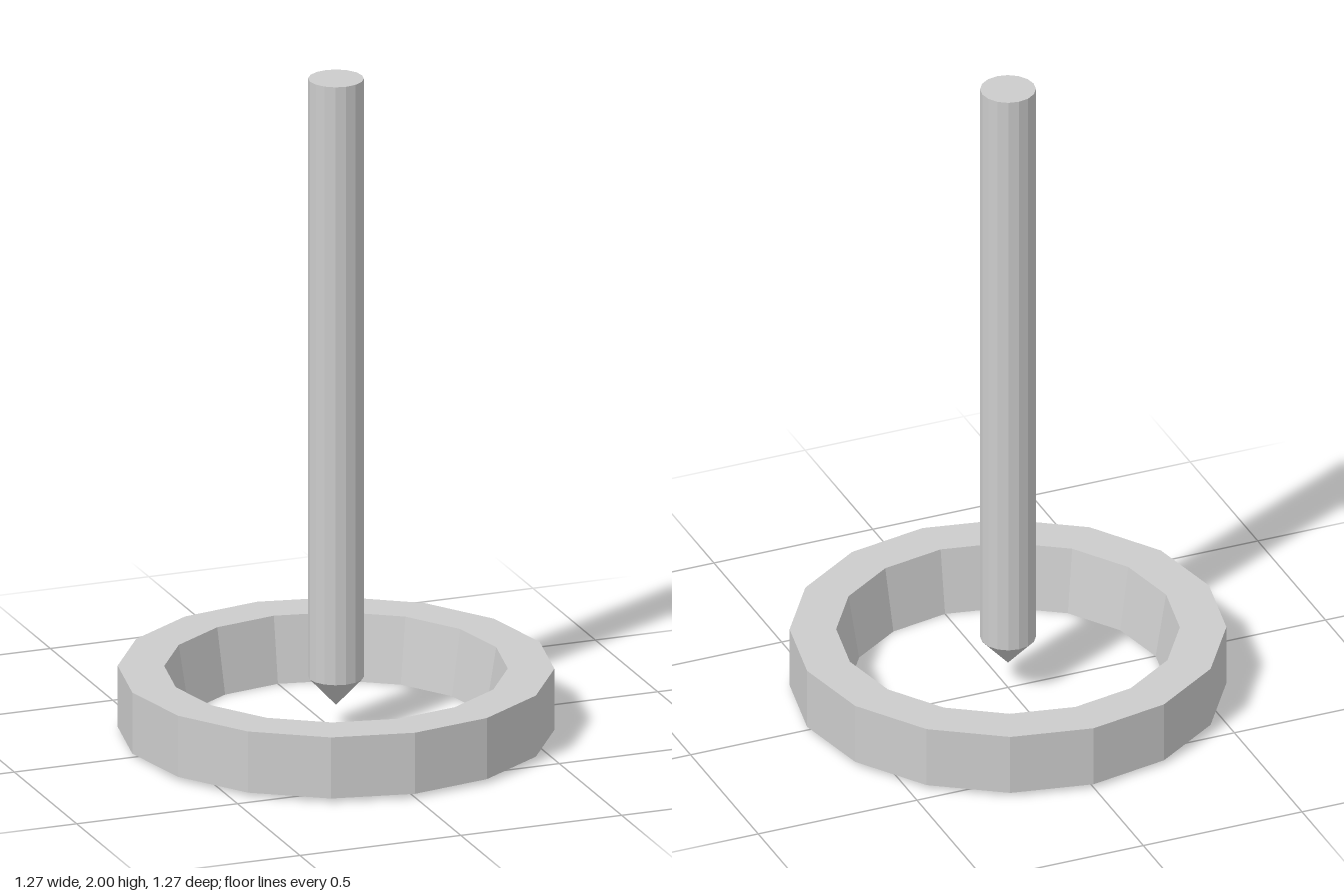
import * as THREE from 'three';

const SIDES = 16;
const material = new THREE.MeshStandardMaterial({ color: 0xcccccc, flatShading: true });

// Faceted solid of revolution from [radius, height] pairs, listed upwards along the outside
function turned(name, profile) {
  const points = profile.map(([r, y]) => new THREE.Vector2(r, y));
  const geometry = new THREE.LatheGeometry(points, SIDES).toNonIndexed();
  geometry.computeVertexNormals();
  const mesh = new THREE.Mesh(geometry, material);
  mesh.name = name;
  return mesh;
}

export function createModel() {
  const model = new THREE.Group();
  model.name = 'rodAndRing';

  // Ring with a vertical outer wall, tapered bore and slightly dished underside
  model.add(turned('ring', [
    [0.465, 0], [0.633, 0.011], [0.633, 0.198], [0.498, 0.198], [0.465, 0],
  ]));

  // Upright rod with a flat top
  model.add(turned('rod', [[0.081, 0.17], [0.081, 2], [0, 2]]));

  // Conical point closing the lower end of the rod
  model.add(turned('rodTip', [[0, 0.083], [0.081, 0.17]]));

  return model;
}
